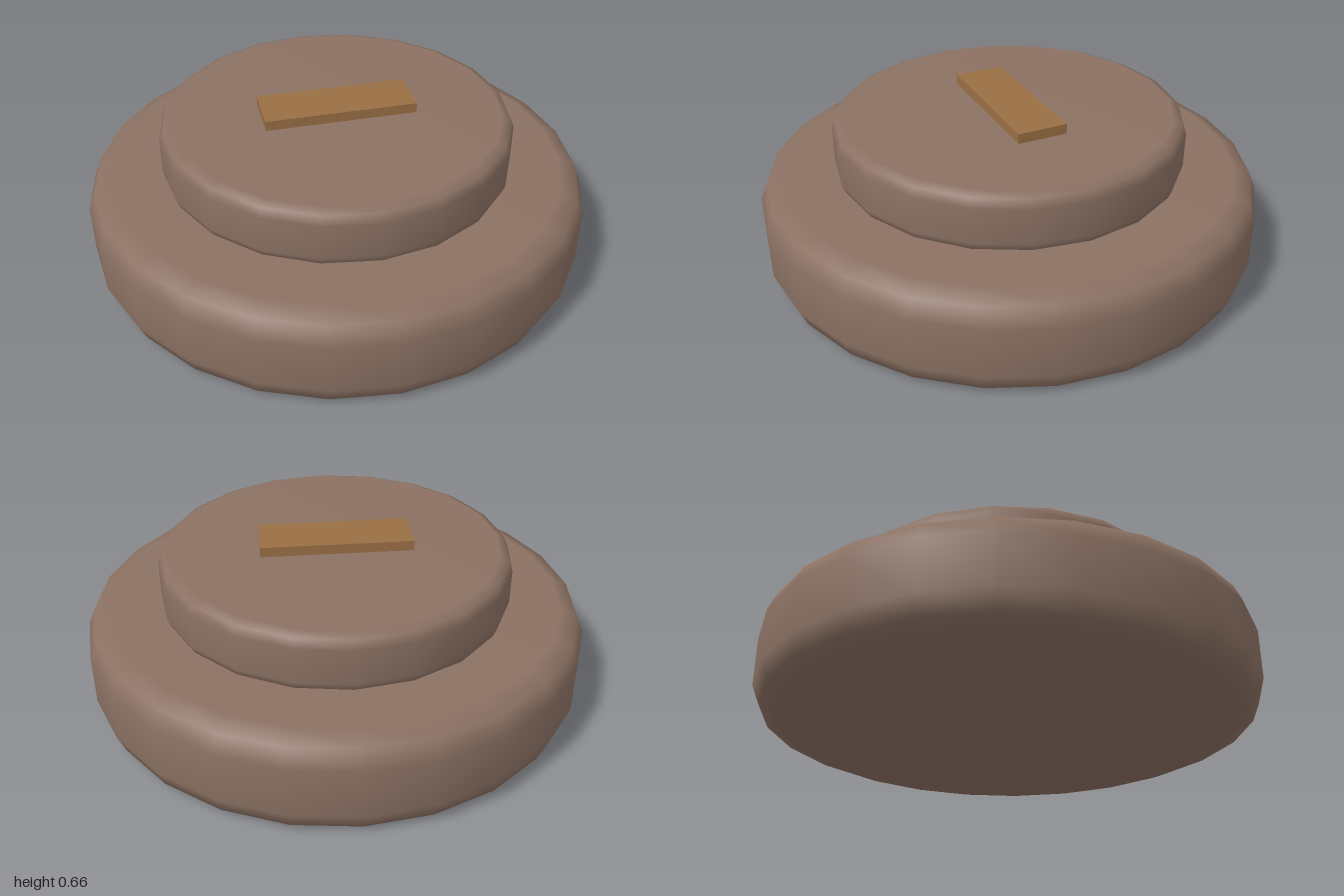
import * as THREE from 'three';

// Smooth disc with rounded rims, from y0 to y1
function roundedDisc(name, radius, y0, y1, bevel, sides, material) {
  const points = [new THREE.Vector2(0, y0)];
  for (let i = 0; i <= 2; i++) {
    const a = -Math.PI / 2 + (i * Math.PI) / 4;
    points.push(new THREE.Vector2(radius - bevel + bevel * Math.cos(a), y0 + bevel + bevel * Math.sin(a)));
  }
  for (let i = 0; i <= 2; i++) {
    const a = (i * Math.PI) / 4;
    points.push(new THREE.Vector2(radius - bevel + bevel * Math.cos(a), y1 - bevel + bevel * Math.sin(a)));
  }
  points.push(new THREE.Vector2(0, y1));
  const mesh = new THREE.Mesh(new THREE.LatheGeometry(points, sides), material);
  mesh.name = name;
  return mesh;
}

export function createModel() {
  const clay = new THREE.MeshStandardMaterial({ color: 0x8b7163 });
  clay.name = 'dull brown';
  const wood = new THREE.MeshStandardMaterial({ color: 0x9a6f45 });
  wood.name = 'warm brown';

  const model = new THREE.Group();
  model.name = 'steppedDisc';

  // Wide lower tier and the narrower tier sunk slightly into it
  model.add(roundedDisc('lowerTier', 1, 0, 0.4, 0.1, 24, clay));
  model.add(roundedDisc('upperTier', 0.7, 0.38, 0.62, 0.05, 20, clay));

  // Flat bar on top
  const bar = new THREE.Mesh(new THREE.BoxGeometry(0.6, 0.06, 0.2), wood);
  bar.name = 'topBar';
  bar.position.y = 0.63;
  model.add(bar);

  return model;
}
